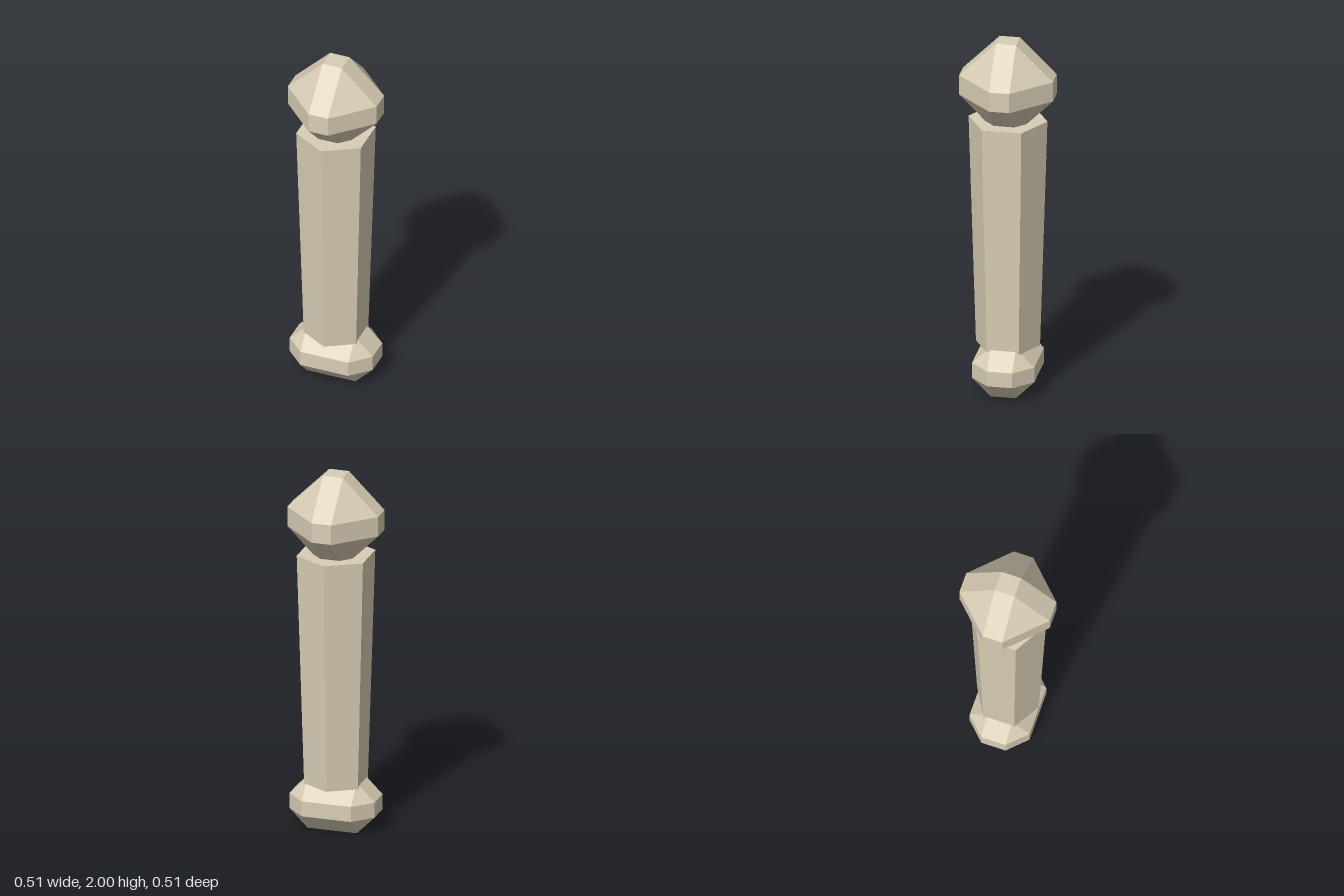
import * as THREE from 'three';
import { ConvexGeometry } from 'three/addons/geometries/ConvexGeometry.js';

const bone = new THREE.MeshStandardMaterial({ color: 0xd9ceb5, flatShading: true });
bone.name = 'bone';

// Box with every edge and corner cut off: three flat panels per octant
function chamferedBlock(name, hx, hy, hz, cut, y) {
  const points = [];
  for (const sx of [-1, 1]) for (const sy of [-1, 1]) for (const sz of [-1, 1]) {
    const outer = [sx * hx, sy * hy, sz * hz];
    const inner = [sx * (hx - cut), sy * (hy - cut), sz * (hz - cut)];
    for (let axis = 0; axis < 3; axis++) {
      const p = inner.slice();
      p[axis] = outer[axis];
      points.push(new THREE.Vector3(...p));
    }
  }
  const mesh = new THREE.Mesh(new ConvexGeometry(points), bone);
  mesh.name = name;
  mesh.position.y = y;
  return mesh;
}

export function createModel() {
  const group = new THREE.Group();
  group.name = 'post';

  // Wide foot block, its top sunk into the shaft
  group.add(chamferedBlock('foot', 0.237, 0.1425, 0.168, 0.1, 0.1425));

  // Six-sided shaft, wider at the top
  const bottom = 0.257, top = 1.55;
  const shaft = new THREE.Mesh(new THREE.CylinderGeometry(0.213, 0.173, top - bottom, 6), bone);
  shaft.name = 'shaft';
  shaft.position.y = (bottom + top) / 2;
  group.add(shaft);

  // Faceted knob, its underside sunk into the shaft
  group.add(chamferedBlock('knob', 0.253, 0.253, 0.253, 0.198, 1.747));

  return group;
}
